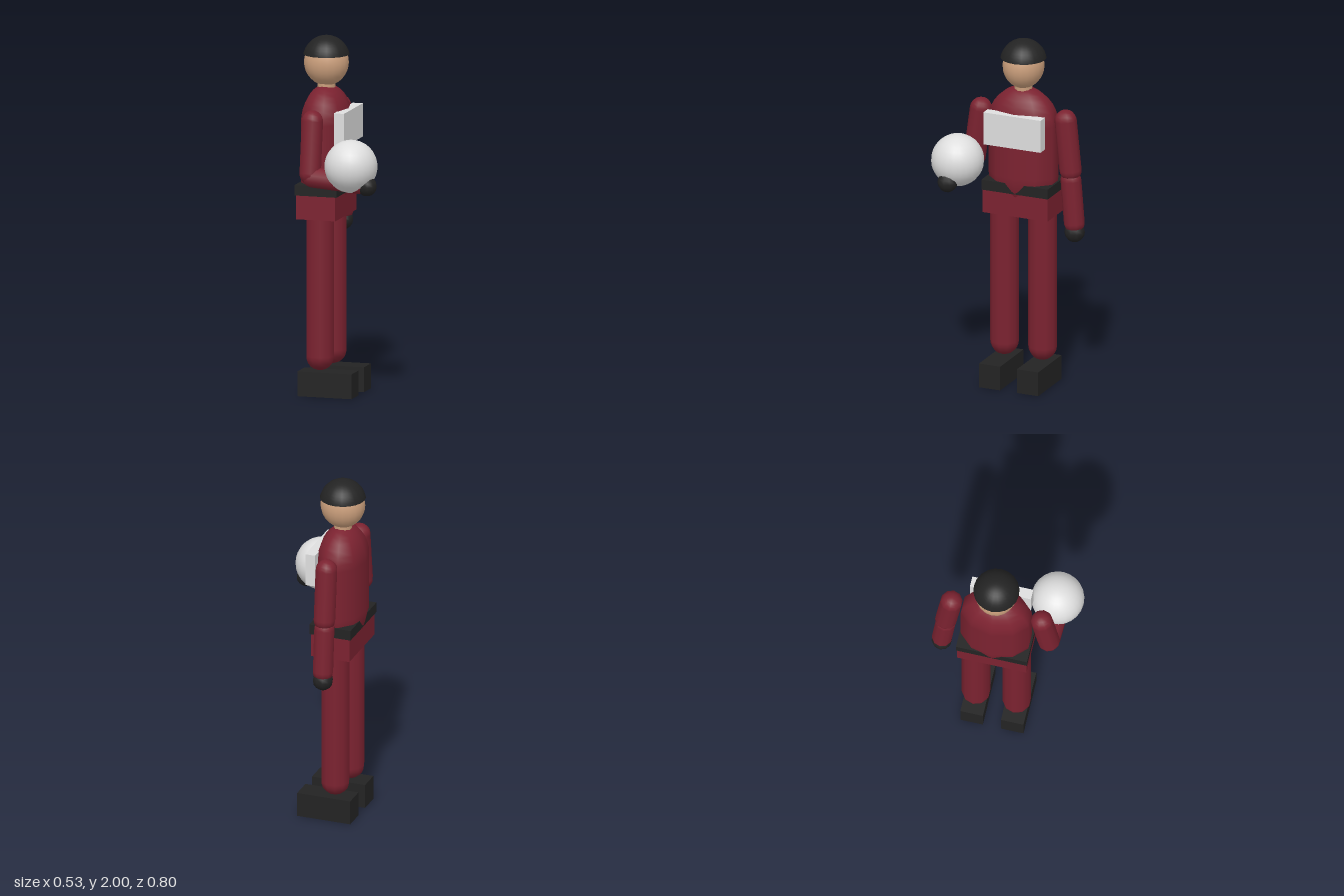
import * as THREE from 'three';

const red = new THREE.MeshStandardMaterial({ name: 'suit red', color: 0x7b2230 });
const black = new THREE.MeshStandardMaterial({ name: 'black', color: 0x232323 });
const skin = new THREE.MeshStandardMaterial({ name: 'skin', color: 0xcb9f7c });
const white = new THREE.MeshStandardMaterial({ name: 'pale grey', color: 0xdedede });

const CX = -0.128; // body axis; the figure looks along +x
const CZ = -0.038;

export function createModel() {
  const model = new THREE.Group();
  model.name = 'figureWithBall';

  const add = (name, geometry, material, x, y, z) => {
    const mesh = new THREE.Mesh(geometry, material);
    mesh.name = name;
    mesh.position.set(x, y, z);
    model.add(mesh);
    return mesh;
  };
  const box = (name, material, w, h, d, x, y, z) =>
    add(name, new THREE.BoxGeometry(w, h, d), material, x, y, z);

  // Capsule whose end-cap centres lie at points a and b
  const limb = (name, radius, a, b) => {
    const from = new THREE.Vector3(...a);
    const to = new THREE.Vector3(...b);
    const dir = from.clone().sub(to);
    const mid = from.clone().add(to).multiplyScalar(0.5);
    const mesh = add(name, new THREE.CapsuleGeometry(radius, dir.length(), 6, 10), red, mid.x, mid.y, mid.z);
    mesh.quaternion.setFromUnitVectors(new THREE.Vector3(0, 1, 0), dir.normalize());
    return mesh;
  };

  // Head, open cap and neck
  add('head', new THREE.SphereGeometry(0.125, 20, 16), skin, CX, 1.85, CZ).scale.set(1, 1.04, 0.92);
  add('cap', new THREE.SphereGeometry(0.13, 20, 10, 0, Math.PI * 2, 0, Math.PI * 0.44), black, CX, 1.87, CZ);
  add('neck', new THREE.CylinderGeometry(0.05, 0.05, 0.1, 10), skin, CX, 1.72, CZ);

  // Torso, belt, hips and chest panel
  add('torso', new THREE.CapsuleGeometry(0.203, 0.3, 8, 10), red, CX, 1.372, CZ).scale.set(0.67, 1, 1);
  box('belt', black, 0.243, 0.058, 0.402, CX, 1.158, CZ);
  box('hips', red, 0.226, 0.136, 0.392, CX, 1.063, CZ);
  box('chestPanel', white, 0.058, 0.187, 0.345, -0.001, 1.503, CZ);

  // Legs and feet
  for (const [side, s] of [['near', 1], ['far', -1]]) {
    const z = CZ + s * 0.115;
    limb(side + 'Leg', 0.08, [CX, 1.02, z], [CX, 0.223, z]);
    box(side + 'Foot', black, 0.313, 0.139, 0.128, -0.083, 0.0695, z);
  }

  // Hanging arm
  limb('hangingUpperArm', 0.062, [CX, 1.56, -0.293], [CX, 1.275, -0.322]);
  limb('hangingForearm', 0.058, [CX, 1.215, -0.325], [CX, 0.97, -0.345]);
  add('hangingHand', new THREE.SphereGeometry(0.057, 10, 8), black, CX, 0.916, -0.347);

  // Bent arm holding the ball
  limb('bentUpperArm', 0.062, [CX, 1.56, 0.219], [CX, 1.275, 0.258]);
  limb('bentForearm', 0.057, [-0.115, 1.255, 0.262], [0.16, 1.235, 0.27]);
  add('bentHand', new THREE.SphereGeometry(0.056, 10, 8), black, 0.205, 1.225, 0.272);
  add('ball', new THREE.SphereGeometry(0.147, 24, 16), white, 0.107, 1.328, 0.255);

  return model;
}
